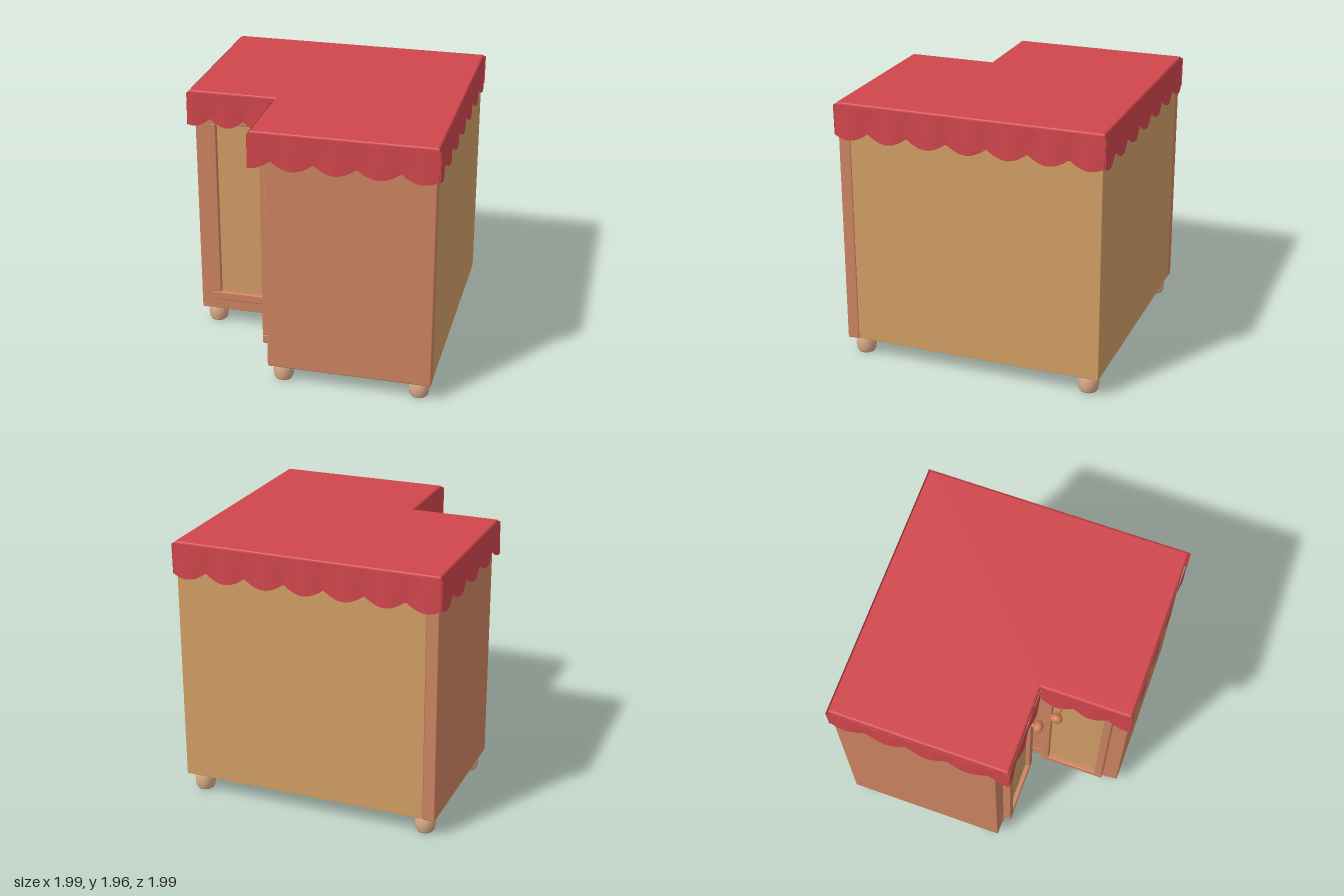
import * as THREE from 'three';
import { RoundedBoxGeometry } from 'three/addons/geometries/RoundedBoxGeometry.js';

const mat = (name, color, extra = {}) => new THREE.MeshStandardMaterial({ name, color, ...extra });

export function createModel() {
  const frameWood = mat('terracotta wood', 0xcc8462);
  const panelWood = mat('tan wood', 0xd19e66);
  const cloth = mat('red cloth', 0xd0464c);
  const valanceCloth = mat('red valance cloth', 0xd0464c, { side: THREE.DoubleSide });
  const footWood = mat('pale foot wood', 0xd9aa88);
  const knobWood = mat('knob wood', 0xcb7c54);

  const model = new THREE.Group();
  model.name = 'cornerCabinet';

  const add = (name, geo, material) => {
    const mesh = new THREE.Mesh(geo, material);
    mesh.name = name;
    model.add(mesh);
  };

  // The cabinet is symmetric about its diagonal: (x, z) -> (-z, -x)
  const swap = new THREE.Matrix4().set(0, 0, -1, 0, 0, 1, 0, 0, -1, 0, 0, 0, 0, 0, 0, 1);
  const mirrored = (geo) => {
    const g = geo.index ? geo.toNonIndexed() : geo.clone();
    g.applyMatrix4(swap);
    for (const attr of Object.values(g.attributes)) {
      const n = attr.itemSize;
      for (let i = 0; i < attr.count; i += 3) {
        for (let k = 0; k < n; k++) {
          const b = (i + 1) * n + k, c = (i + 2) * n + k;
          [attr.array[b], attr.array[c]] = [attr.array[c], attr.array[b]];
        }
      }
    }
    return g;
  };
  const addPair = (name, geo, material) => {
    add(name, geo, material);
    add(name + 'Mirrored', mirrored(geo), material);
  };

  // Box given by its limits, with softened edges
  const block = (x0, x1, y0, y1, z0, z1, r = 0.008) =>
    new RoundedBoxGeometry(x1 - x0, y1 - y0, z1 - z0, 2, r)
      .translate((x0 + x1) / 2, (y0 + y1) / 2, (z0 + z1) / 2);

  // L-shaped slab; notch is the position of the inner corner
  const slab = (half, notch, y0, y1, bevel) => {
    const h = half - bevel, n = notch + bevel * -1;
    const pts = [[-h, h], [h, h], [h, -h], [-n, -h], [-n, -n], [-h, -n]];
    const shape = new THREE.Shape(pts.map(([x, y]) => new THREE.Vector2(x, y)));
    return new THREE.ExtrudeGeometry(shape, {
      depth: y1 - y0 - 2 * bevel, bevelEnabled: bevel > 0,
      bevelSize: bevel, bevelThickness: bevel, bevelSegments: 3,
    }).rotateX(-Math.PI / 2).translate(0, y0 + bevel, 0);
  };

  // Body, end panels and tan outer walls
  add('body', slab(0.96, 0.23, 0.138, 1.92, 0), frameWood);
  addPair('endPanel', block(-0.23, 0.97, 0.135, 1.92, 0.88, 0.97, 0.01), frameWood);
  addPair('outerWall', block(0.955, 0.968, 0.14, 1.92, -0.968, 0.88, 0.003), panelWood);
  addPair('bottomRail', block(-0.87, -0.23, 0.14, 0.24, 0.2, 0.236, 0.004), frameWood);

  // Tablecloth top
  add('clothTop', slab(0.978, 0.325, 1.9, 1.962, 0.015), cloth);

  // Doors with a framed panel
  const z0 = 0.235, z1 = 0.297;
  addPair('doorPanel', block(-0.80, -0.40, 0.31, 1.72, z0, 0.262, 0.003), panelWood);
  for (const x of [-0.855, -0.412]) {
    addPair('doorStile', block(x, x + 0.062, 0.318, 1.705, z0, z1), frameWood);
  }
  for (const y of [0.252, 1.703]) {
    addPair('doorRail', block(-0.855, -0.35, y, y + 0.066, z0, z1), frameWood);
  }

  // Door knobs with necks
  const neck = new THREE.CylinderGeometry(0.018, 0.018, 0.1, 16)
    .rotateX(Math.PI / 2).translate(-0.465, 1.54, 0.305);
  const knob = new THREE.SphereGeometry(0.046, 24, 16).scale(1, 1, 0.8).translate(-0.465, 1.54, 0.365);
  addPair('knobNeck', neck, knobWood);
  addPair('knob', knob, knobWood);

  // Scalloped, gently pleated valance along x from a to b, facing +z at depth d
  const valance = (a, b, d, cusp, period) => {
    const cols = Math.round((b - a) * 80), rows = 5, top = 1.945;
    const geo = new THREE.PlaneGeometry(b - a, 1, cols, rows);
    const p = geo.attributes.position;
    for (let i = 0; i < p.count; i++) {
      const x = p.getX(i) + (a + b) / 2;
      const t = 0.5 - p.getY(i);
      const phase = (x - cusp) / period;
      const u = phase - Math.floor(phase) - 0.5;
      const hem = 1.695 + 0.06 * Math.pow(2 * u, 2);
      p.setXYZ(i, x, top + (hem - top) * t, d + 0.006 * t * Math.cos(2 * Math.PI * u));
    }
    geo.computeVertexNormals();
    return geo;
  };
  addPair('frontValance', valance(-0.34, 0.992, 0.988, -0.18, 0.302), valanceCloth);
  addPair('doorValance', valance(-0.992, -0.335, 0.335, -0.82, 0.25), valanceCloth);
  addPair('sideValance', valance(-0.992, 0.992, 0.988, 0.147, 0.295).rotateY(Math.PI / 2), valanceCloth);

  // Rounded feet
  const profile = [[0, 0], [0.045, 0], [0.06, 0.006], [0.07, 0.022], [0.076, 0.07],
    [0.07, 0.115], [0.06, 0.132], [0.045, 0.139], [0, 0.139]]
    .map(([x, y]) => new THREE.Vector2(x, y));
  const feet = [[-0.87, -0.87], [0.87, -0.87], [0.87, 0.87], [-0.135, 0.87], [-0.135, 0.135], [-0.87, 0.135]];
  for (const [x, z] of feet) {
    add('foot', new THREE.LatheGeometry(profile, 24).translate(x, 0, z), footWood);
  }

  return model;
}
